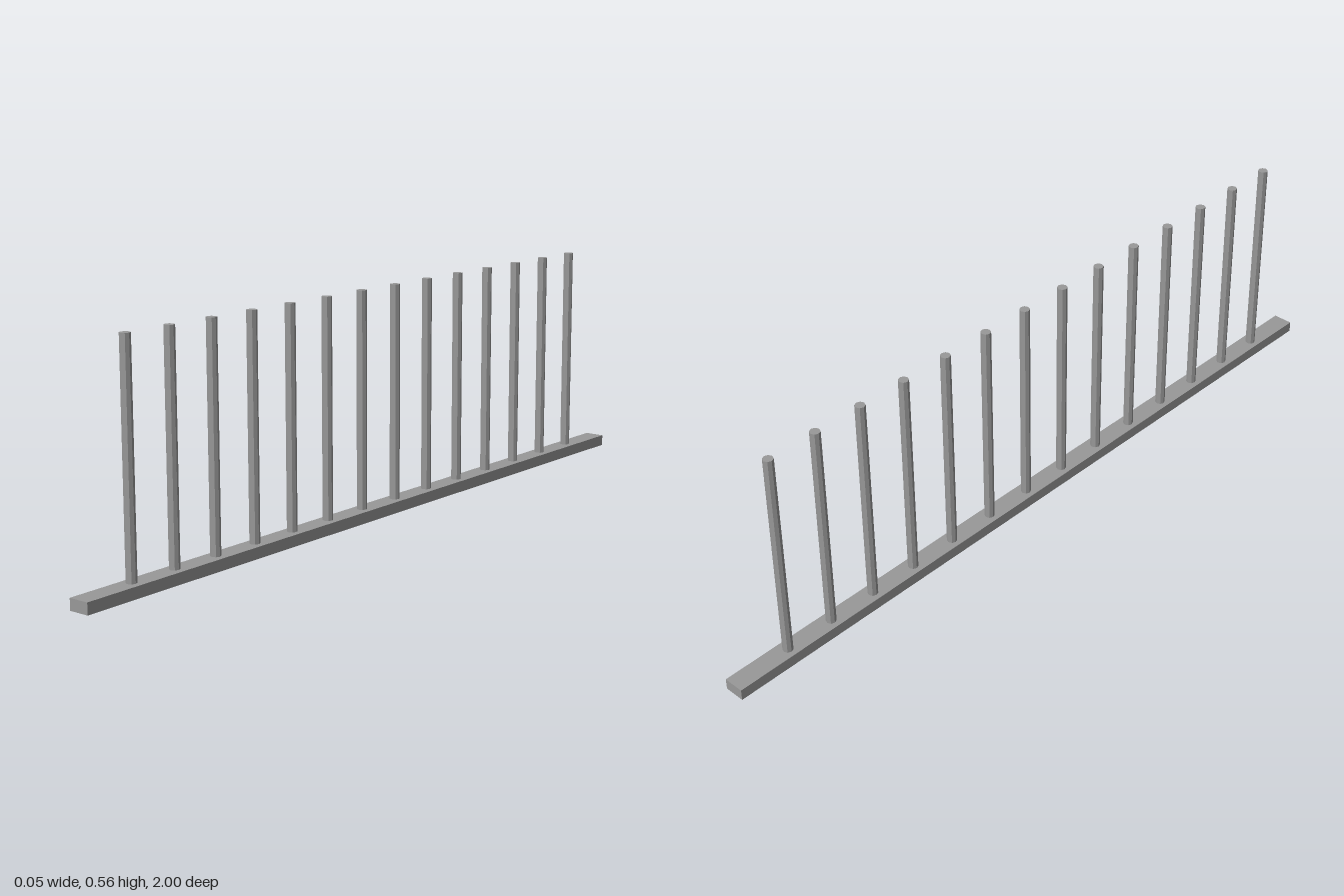
import * as THREE from 'three';

export function createModel() {
  const model = new THREE.Group();
  model.name = 'pegRail';
  const material = new THREE.MeshStandardMaterial({ color: 0x999999, flatShading: true });

  const baseHeight = 0.028, totalHeight = 0.565;
  const pegCount = 14, pegSpacing = 0.13, pegRadius = 0.0125;

  // Long flat rail
  const rail = new THREE.Mesh(new THREE.BoxGeometry(0.052, baseHeight, 2), material);
  rail.name = 'baseRail';
  rail.position.y = baseHeight / 2;
  model.add(rail);

  // Evenly spaced upright octagonal pegs
  const pegHeight = totalHeight - baseHeight;
  const pegGeometry = new THREE.CylinderGeometry(pegRadius, pegRadius, pegHeight, 8);
  const pegs = new THREE.Group();
  pegs.name = 'pegs';
  pegs.position.set(-0.001, baseHeight + pegHeight / 2, 0.002);
  for (let i = 0; i < pegCount; i++) {
    const peg = new THREE.Mesh(pegGeometry, material);
    peg.name = `peg${i + 1}`;
    peg.position.z = (i - (pegCount - 1) / 2) * pegSpacing;
    pegs.add(peg);
  }
  model.add(pegs);

  return model;
}
